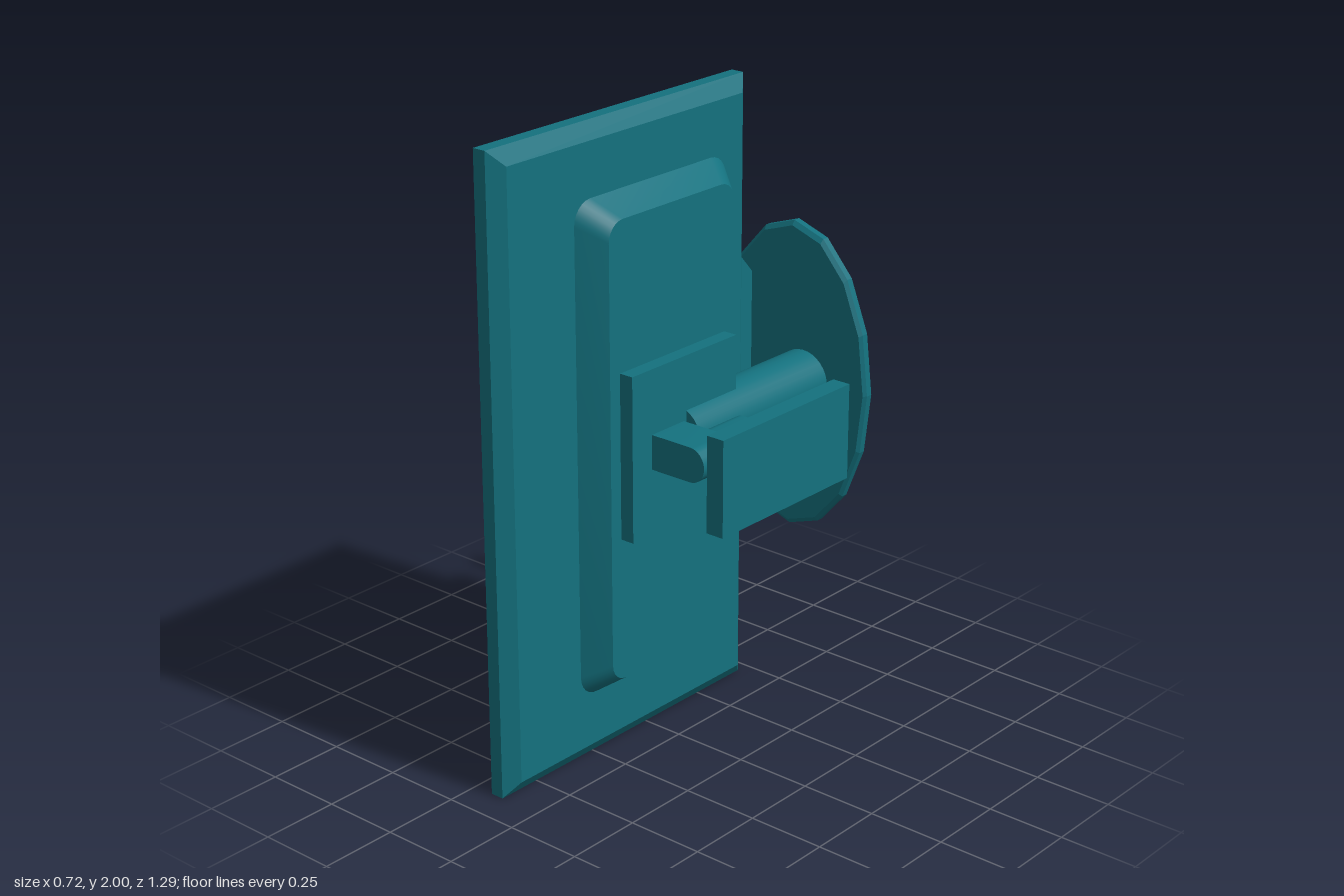
import * as THREE from 'three';
import { toCreasedNormals } from 'three/addons/utils/BufferGeometryUtils.js';

const teal = new THREE.MeshStandardMaterial({ color: 0x14717e });
const tealFlat = new THREE.MeshStandardMaterial({ color: 0x14717e, flatShading: true });
const dark = new THREE.MeshStandardMaterial({ color: 0x2a2a2a });

// Rounded rectangle in the z-y plane, counter-clockwise seen from +x
function ring(x, z, y, w, h, r = 0) {
  const steps = r > 0 ? 6 : 0, points = [];
  for (let c = 0; c < 4; c++) {
    const sz = c === 0 || c === 3 ? -1 : 1, sy = c < 2 ? 1 : -1;
    for (let s = 0; s <= steps; s++) {
      const a = (c + (steps ? s / steps : 0.5)) * Math.PI / 2;
      points.push(new THREE.Vector3(
        x,
        y + sy * (h / 2 - r) + r * Math.sin(a),
        z + sz * (w / 2 - r) - r * Math.cos(a)));
    }
  }
  return points;
}

// Skin joining the rings in order of travel, closed by a cap on the last ring
function loft(rings) {
  const v = [], n = rings[0].length;
  const tri = (...p) => p.forEach(q => v.push(q.x, q.y, q.z));
  for (let k = 0; k < rings.length - 1; k++) {
    const a = rings[k], b = rings[k + 1];
    for (let i = 0; i < n; i++) {
      const j = (i + 1) % n;
      tri(a[i], a[j], b[j]);
      tri(a[i], b[j], b[i]);
    }
  }
  const last = rings[rings.length - 1];
  const centre = last.reduce((s, p) => s.add(p), new THREE.Vector3()).divideScalar(n);
  for (let i = 0; i < n; i++) tri(centre, last[i], last[(i + 1) % n]);
  const g = new THREE.BufferGeometry();
  g.setAttribute('position', new THREE.Float32BufferAttribute(v, 3));
  g.computeVertexNormals();
  return toCreasedNormals(g, 0.5);
}

// Box given by its limits
function box(x0, x1, y0, y1, z0, z1) {
  return new THREE.BoxGeometry(x1 - x0, y1 - y0, z1 - z0)
    .translate((x0 + x1) / 2, (y0 + y1) / 2, (z0 + z1) / 2);
}

// Bar along x with one half-round end; dir is the side of the round end
function roundedBar(flatX, endX, z0, z1) {
  const r = 0.055, y = 1.005, dir = Math.sign(endX - flatX), cx = endX - dir * r;
  const s = new THREE.Shape();
  s.moveTo(flatX, y - r);
  s.lineTo(cx, y - r);
  s.absarc(cx, y, r, -Math.PI / 2, Math.PI / 2, dir < 0);
  s.lineTo(flatX, y + r);
  s.closePath();
  const g = new THREE.ExtrudeGeometry(s, { depth: z1 - z0, bevelEnabled: false, curveSegments: 10 });
  return toCreasedNormals(g.translate(0, 0, z0), 0.6);
}

export function createModel() {
  const model = new THREE.Group();
  const add = (name, geometry, material = teal) => {
    const mesh = new THREE.Mesh(geometry, material);
    mesh.name = name;
    model.add(mesh);
  };

  // Display: recessed bezel, straight sides, chamfered back
  const zc = 0.095;
  add('housing', loft([
    ring(-0.16, zc, 1, 1.05, 1.95),
    ring(-0.182, zc, 1, 1.05, 1.95),
    ring(-0.182, zc, 1, 1.102, 2),
    ring(-0.138, zc, 1, 1.102, 2),
    ring(-0.102, zc, 1, 1.01, 1.904),
  ]));
  add('screen', box(-0.162, -0.15, 0.025, 1.975, zc - 0.525, zc + 0.525), dark);

  // Raised back cover with rounded corners
  add('backCover', loft([
    ring(-0.104, 0, 1.003, 0.67, 1.565, 0.07),
    ring(-0.022, 0, 1.003, 0.555, 1.45, 0.06),
  ]));

  // Tapered tab on the edge of the housing
  const tab = new THREE.Shape([[0.45, 0.575], [0.508, 0.645], [0.508, 1.36], [0.45, 1.425]]
    .map(p => new THREE.Vector2(...p)));
  add('edgeTab', new THREE.ExtrudeGeometry(tab, { depth: 0.044, bevelEnabled: false })
    .rotateY(Math.PI / 2).translate(-0.182, 0, 0));

  // Mounting plate and the two hinged bars
  add('mountPlate', box(-0.03, 0.025, 0.74, 1.265, -0.235, 0.235));
  add('mountBar', roundedBar(0.01, 0.225, 0.006, 0.15));
  add('sideBar', roundedBar(0.31, 0.08, -0.14, 0.006));
  add('sidePlate', box(0.3, 0.36, 0.852, 1.155, -0.358, 0.227));

  // Stand: round post and sixteen-sided oval base
  add('post', new THREE.CylinderGeometry(0.097, 0.097, 0.615, 32)
    .rotateX(Math.PI / 2).translate(-0.016, 1.003, -0.3125));
  const profile = [[0, 0], [1, 0], [1, 0.022], [0.97, 0.033], [0, 0.033]]
    .map(p => new THREE.Vector2(...p));
  add('base', new THREE.LatheGeometry(profile, 16)
    .rotateX(Math.PI / 2).scale(0.295, 0.51, 1).translate(-0.066, 1.002, -0.647), tealFlat);

  return model;
}
